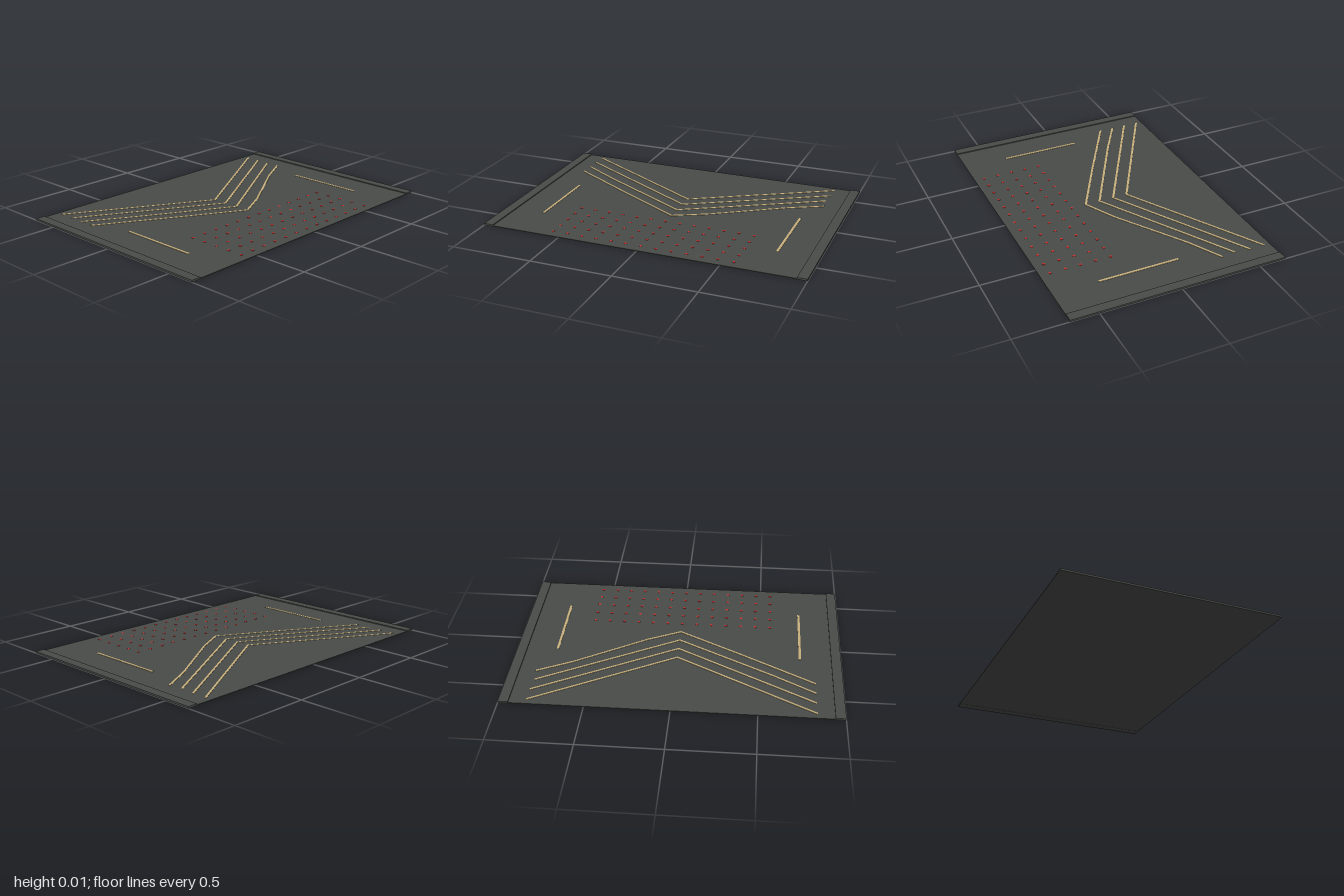
import * as THREE from 'three';

export function createModel() {
  const group = new THREE.Group();
  group.name = 'wovenRug';
  const mat = (name, color) => {
    const m = new THREE.MeshStandardMaterial({ color });
    m.name = name;
    return m;
  };
  const charcoal = mat('charcoal', 0x484b47);
  const sand = mat('sand', 0xc8b07c);
  const red = mat('red', 0xd0322f);

  const add = (name, geometry, material, x = 0, y = 0, z = 0) => {
    const mesh = new THREE.Mesh(geometry, material);
    mesh.name = name;
    mesh.position.set(x, y, z);
    group.add(mesh);
    return mesh;
  };

  const W = 1.34;      // rug width
  const TOP = 0.005;   // height of the woven surface

  // Thin woven sheet between two thicker hems
  add('rugSheet', new THREE.BoxGeometry(W, 0.004, 1.88), charcoal, 0, 0.003, 0);
  for (const s of [-1, 1]) {
    add(s > 0 ? 'frontHem' : 'backHem', new THREE.BoxGeometry(W, 0.011, 0.06), charcoal, 0, 0.0055, s * 0.97);
  }

  // Chevron stripes: ribbons widened in x along [x, z] points
  const ribbon = (points, halfWidth) => {
    const right = points.map(([x, z]) => new THREE.Vector2(x + halfWidth, -z));
    const left = points.map(([x, z]) => new THREE.Vector2(x - halfWidth, -z)).reverse();
    const geo = new THREE.ExtrudeGeometry(new THREE.Shape([...right, ...left]), { depth: 0.002, bevelEnabled: false });
    return geo.rotateX(-Math.PI / 2);
  };
  const chevrons = [
    [[-0.63, -0.84], [-0.145, 0], [-0.63, 0.84]],
    [[-0.535, -0.84], [-0.052, 0], [-0.535, 0.84]],
    [[-0.438, -0.83], [0.042, 0], [-0.29, 0.59], [-0.443, 0.84]],
    [[-0.35, -0.84], [-0.24, -0.63], [0.035, -0.2], [0.136, 0], [-0.08, 0.38], [-0.35, 0.84]],
  ];
  chevrons.forEach((pts, i) => add(`chevronStripe${i + 1}`, ribbon(pts, 0.0075), sand, 0, TOP, 0));

  // Short straight bars near each end
  for (const s of [-1, 1]) {
    add(s > 0 ? 'frontBar' : 'backBar', new THREE.BoxGeometry(0.5, 0.002, 0.015), sand, 0.14, TOP + 0.001, s * 0.75);
  }

  // Grid of small red dots
  const dot = new THREE.CylinderGeometry(0.009, 0.009, 0.002, 8);
  for (let col = 0; col < 5; col++) {
    for (let row = -6; row <= 6; row++) {
      add('dot', dot, red, 0.231 + col * 0.094, TOP + 0.001, row * 0.094);
    }
  }
  return group;
}
